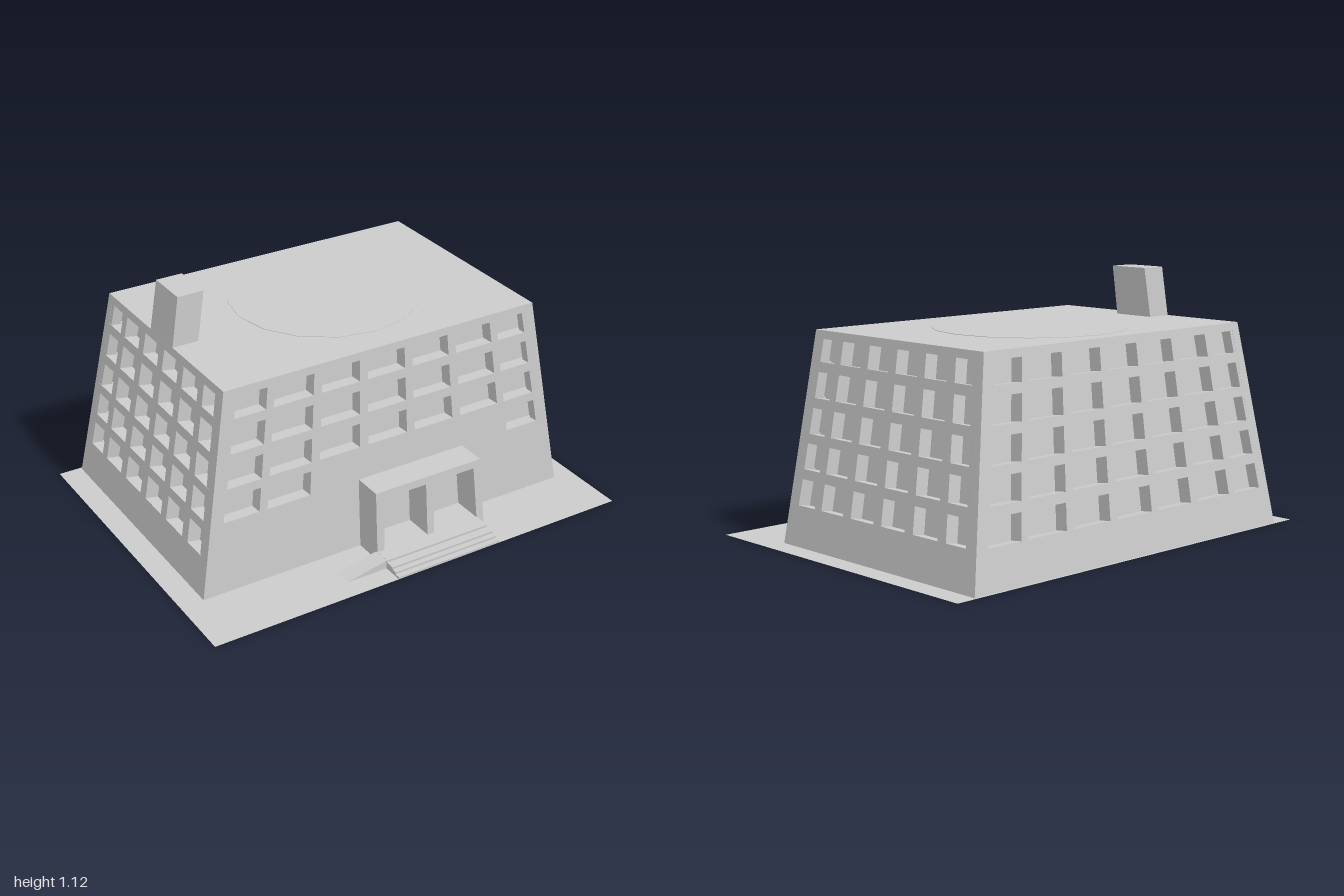
import * as THREE from 'three';

const H = 0.9, DEPTH = 0.06;
const mat = new THREE.MeshStandardMaterial({ color: 0xcccccc, flatShading: true });

function add(parent, name, geometry, material = mat) {
  const mesh = new THREE.Mesh(geometry, material);
  mesh.name = name;
  parent.add(mesh);
  return mesh;
}

// Move every vertex of a geometry by a rule
function warp(geometry, rule) {
  const p = geometry.attributes.position, v = new THREE.Vector3();
  for (let i = 0; i < p.count; i++) {
    rule(v.fromBufferAttribute(p, i));
    p.setXYZ(i, v.x, v.y, v.z);
  }
  geometry.computeVertexNormals();
  return geometry;
}

const shapeOf = pts => new THREE.Shape(pts.map(([x, y]) => new THREE.Vector2(x, y)));
const extrude = (shape, depth) => new THREE.ExtrudeGeometry(shape, { depth, bevelEnabled: false });

// Window columns as fractions of the wall width, rows as heights
const wideColumns = [[.032, .133], [.155, .275], [.3, .418], [.443, .561], [.585, .703], [.728, .847], [.869, .97]];
const sideColumns = [[.036, .147], [.185, .309], [.352, .476], [.519, .643], [.685, .81], [.852, .966]];
const rows = [[.77, .865], [.62, .728], [.47, .578], [.322, .43], [.17, .28]];

// Leaning wall with deep window openings and a recessed pane behind them
function makeWall(parent, name, [bl, br, tr, tl], columns, hasWindow) {
  const X = br.clone().sub(bl).normalize();
  const N = X.clone().cross(tl.clone().sub(bl)).normalize();
  const Y = N.clone().cross(X);
  const at = (u, y) => {
    const p = bl.clone().lerp(br, u).lerp(tl.clone().lerp(tr, u), y / H).sub(bl);
    return new THREE.Vector2(p.dot(X), p.dot(Y));
  };
  const outline = [at(0, 0), at(1, 0), at(1, H), at(0, H)];
  const shape = new THREE.Shape(outline);
  rows.forEach(([y0, y1], r) => columns.forEach(([u0, u1], c) => {
    if (hasWindow(r, c)) shape.holes.push(new THREE.Path([at(u0, y0), at(u0, y1), at(u1, y1), at(u1, y0)]));
  }));
  const place = new THREE.Matrix4().makeBasis(X, Y, N).setPosition(bl.clone().addScaledVector(N, -DEPTH));
  const aboveGround = v => { v.y = Math.max(0, v.y); };
  add(parent, name, warp(extrude(shape, DEPTH).applyMatrix4(place), aboveGround));
  add(parent, name + 'Panes', warp(new THREE.ShapeGeometry(new THREE.Shape(outline)).applyMatrix4(place), aboveGround));
}

export function createModel() {
  const model = new THREE.Group();
  model.name = 'officeBuilding';

  // Ground sheet
  const sheet = mat.clone();
  sheet.side = THREE.DoubleSide;
  add(model, 'ground', new THREE.PlaneGeometry(2, 1.5).rotateX(-Math.PI / 2), sheet);

  // Tapered body: corners in the order front left, front right, back right, back left of the page
  const bottom = [[-.895, .455], [.905, .455], [.905, -.74], [-.895, -.74]].map(([x, z]) => new THREE.Vector3(x, 0, z));
  const top = [[-.745, .405], [.755, .405], [.755, -.63], [-.745, -.63]].map(([x, z]) => new THREE.Vector3(x, H, z));
  const body = new THREE.Group();
  body.name = 'body';
  model.add(body);
  ['frontWall', 'leftWall', 'backWall', 'rightWall'].forEach((name, i) => {
    const j = (i + 1) % 4;
    // The front leaves its lower windows out around the entrance
    const hasWindow = (r, c) => i !== 0 || r < 3 || (r === 3 && (c < 2 || c === 6));
    makeWall(body, name, [bottom[i], bottom[j], top[j], top[i]], i % 2 ? sideColumns : wideColumns, hasWindow);
  });

  // Flat roof with a shallow sixteen-sided disc
  add(body, 'roof', new THREE.PlaneGeometry(1.5, 1.035).rotateX(-Math.PI / 2).translate(.005, H, -.1125));
  add(body, 'roofDisc', new THREE.CylinderGeometry(.42, .42, .004, 16).translate(.04, H, -.14));

  // Leaning rooftop stack
  const stack = new THREE.BoxGeometry(.118, .22, .2).translate(-.686, 1.01, -.128);
  add(model, 'roofStack', warp(stack, v => {
    const t = (v.y - H) / .22;
    v.x += .033 * t;
    if (v.z < -.2) v.z += .008 * t;
  }));

  // Entrance porch with two openings, its front leaning back slightly
  const porch = shapeOf([[-.14, 0], [.41, 0], [.39, .32], [-.14, .32]]);
  porch.holes.push(shapeOf([[-.105, .02], [-.1, .285], [.11, .285], [.115, .02]]));
  porch.holes.push(shapeOf([[.148, .02], [.148, .285], [.355, .285], [.373, .02]]));
  add(model, 'entrancePorch', warp(extrude(porch, .17).translate(0, 0, .42), v => {
    if (v.z > .5) v.z -= .02 * v.y / .32;
  }));

  // Landing and steps
  [[.44, .66, .04], [.66, .7, .03], [.7, .725, .02], [.725, .75, .01]].forEach(([z0, z1, h], i) => {
    add(model, i ? 'step' + i : 'landing',
      new THREE.BoxGeometry(.514, h, z1 - z0).translate(.118, h / 2, (z0 + z1) / 2));
  });

  // Access ramp beside the landing
  add(model, 'ramp', extrude(shapeOf([[-.33, 0], [-.139, 0], [-.139, .039]]), .08).translate(0, 0, .577));

  return model;
}
